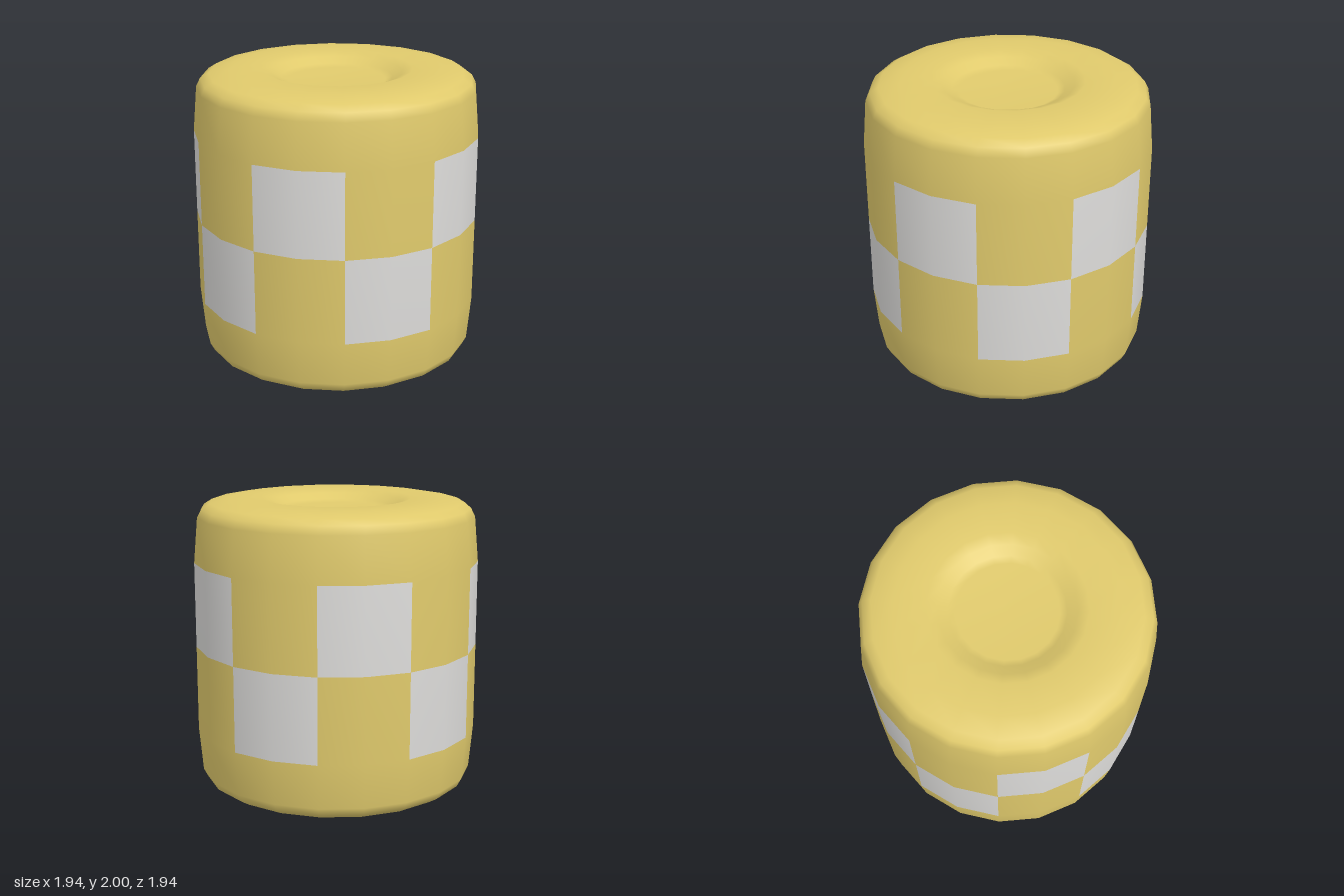
import * as THREE from 'three';

export function createModel() {
  const yellow = new THREE.MeshStandardMaterial({ color: 0xe0ca6c });
  yellow.name = 'yellow';
  const white = new THREE.MeshStandardMaterial({ color: 0xdddcda });
  white.name = 'white';

  // Upper half of the profile (radius, height above the middle), from the waist to the dimple centre
  const half = [
    [0.97, 0.58], [0.943, 0.885], [0.915, 0.94], [0.857, 0.976], [0.72, 1],
    [0.51, 1], [0.44, 0.975], [0.375, 0.94], [0.33, 0.922], [0, 0.92],
  ];
  const profile = [
    ...half.map(([r, h]) => new THREE.Vector2(r, 1 - h)).reverse(),
    new THREE.Vector2(0.97, 1),
    ...half.map(([r, h]) => new THREE.Vector2(r, 1 + h)),
  ];

  // Twenty-sided barrel with a dimple in each end
  const sides = 20;
  const geometry = new THREE.LatheGeometry(profile, sides);

  // Two rows of checks, each two sides wide and offset from one another
  const lowerRow = half.length - 1;
  const upperRow = half.length;
  const bands = profile.length - 1;
  for (let side = 0; side < sides; side++) {
    const column = Math.floor((side + 1) / 2) % 2;
    for (let band = 0; band < bands; band++) {
      const check = (band === upperRow && column === 0) || (band === lowerRow && column === 1);
      geometry.addGroup((side * bands + band) * 6, 6, check ? 1 : 0);
    }
  }

  const body = new THREE.Mesh(geometry, [yellow, white]);
  body.name = 'checkedBarrel';
  const model = new THREE.Group();
  model.name = 'barrel';
  model.add(body);
  return model;
}
